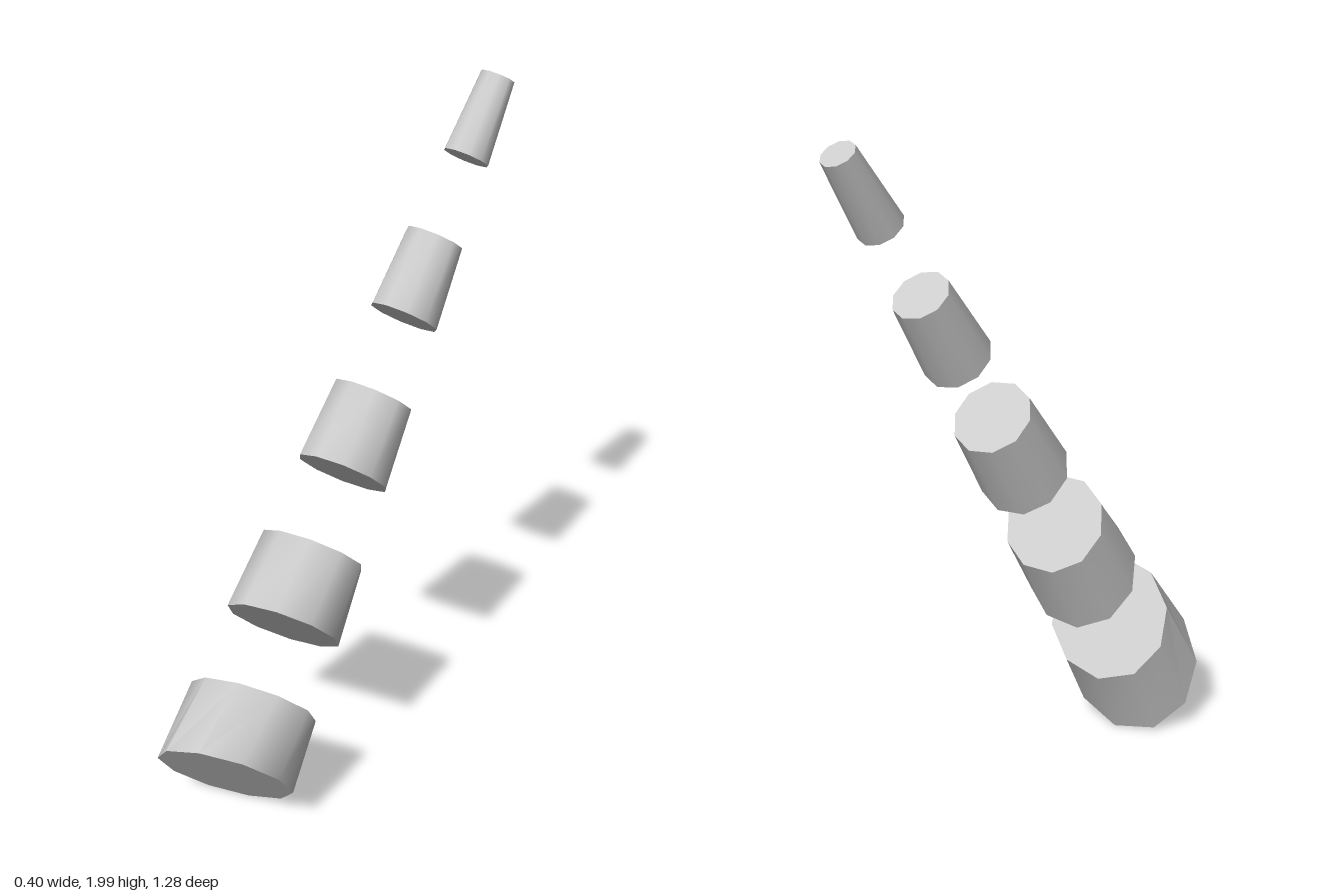
import * as THREE from 'three';
import { toCreasedNormals } from 'three/addons/utils/BufferGeometryUtils.js';

const SEGMENTS = 5;
const SIDES = 10;

// Point on slanted section k (0 = lowest, 9 = topmost), from unit disc coordinates
function sectionPoint(k, dx, dz) {
  const fade = 1 - k / 9;
  const radius = 0.2 - 0.0165 * k;
  const twist = THREE.MathUtils.degToRad(26 * fade ** 3 - 36);
  const reach = radius * Math.hypot(dx, dz);
  const angle = Math.atan2(dz, dx) + twist;
  const c = reach * Math.cos(angle);
  const s = reach * Math.sin(angle);
  return [
    c,
    0.184 + 0.198 * k + c * 0.33 * fade ** 2 + s * (0.85 - 0.04 * k),
    0.508 - 0.123 * k - c * 0.21 * fade + s * (0.65 + 0.01 * k),
  ];
}

// Ten-sided cylinder whose ends are moved onto two neighbouring sections
function segmentGeometry(index) {
  const geometry = new THREE.CylinderGeometry(1, 1, 1, SIDES);
  const pos = geometry.attributes.position;
  for (let i = 0; i < pos.count; i++) {
    const k = index * 2 + (pos.getY(i) > 0 ? 1 : 0);
    pos.setXYZ(i, ...sectionPoint(k, pos.getX(i), pos.getZ(i)));
  }
  // Smooth around the wall, sharp at the rims
  return toCreasedNormals(geometry, 0.8);
}

export function createModel() {
  const group = new THREE.Group();
  group.name = 'taperingSegments';
  const material = new THREE.MeshStandardMaterial({ color: 0xcccccc });

  // Leaning row of segments, shrinking towards the top and back
  for (let i = 0; i < SEGMENTS; i++) {
    const segment = new THREE.Mesh(segmentGeometry(i), material);
    segment.name = `segment${i + 1}`;
    group.add(segment);
  }
  return group;
}
